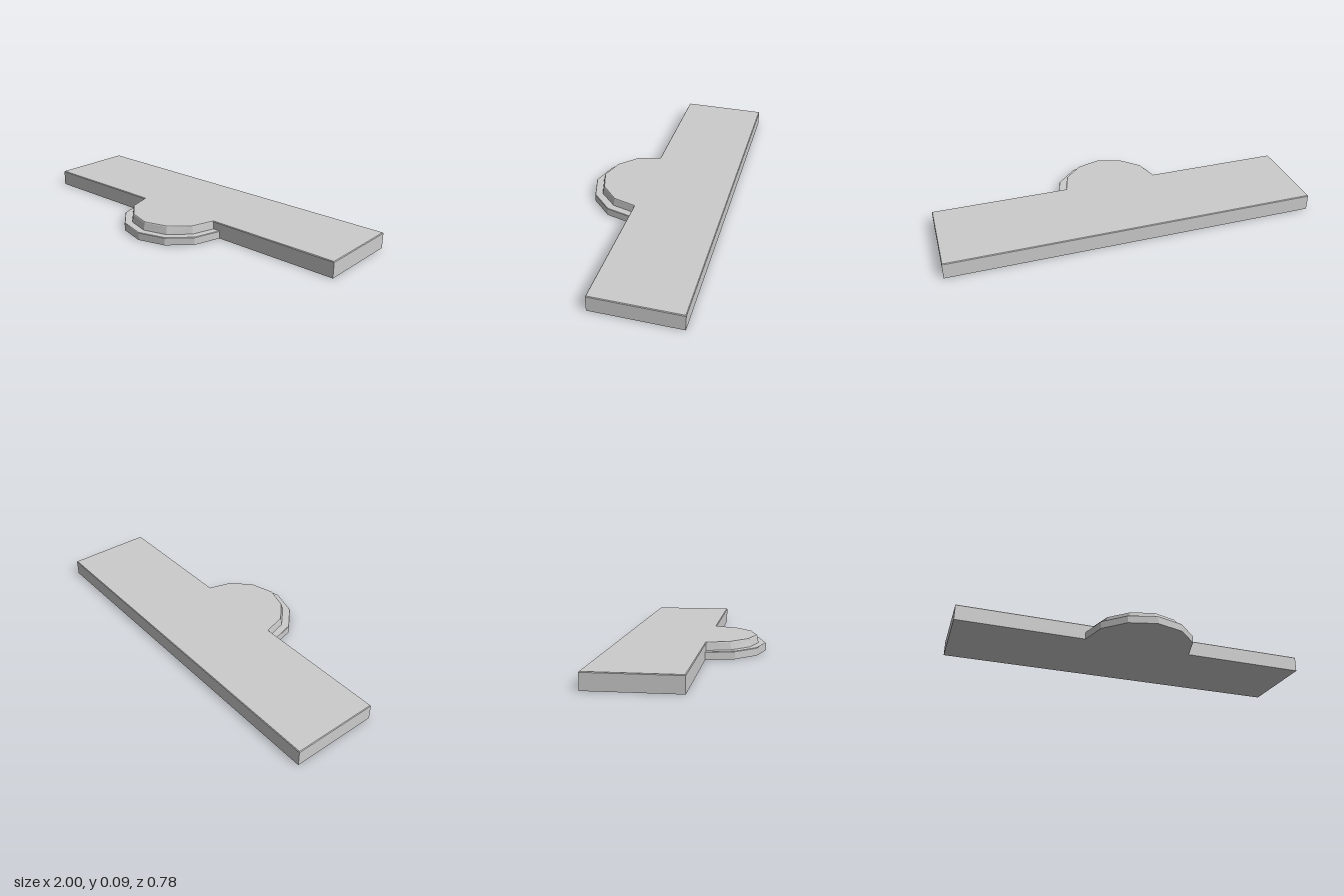
import * as THREE from 'three';

const material = new THREE.MeshStandardMaterial({ color: 0xcccccc, flatShading: true });

// Closed solid through stacked convex outlines; each layer is { y, ring: [[x, z], ...] }
function stack(name, layers) {
  const pos = [];
  const put = (layer, i) => {
    const p = layer.ring[i % layer.ring.length];
    pos.push(p[0], layer.y, p[1]);
  };
  const n = layers[0].ring.length;
  for (let k = 0; k < layers.length - 1; k++) {
    const a = layers[k], b = layers[k + 1];
    for (let i = 0; i < n; i++) {
      put(a, i); put(a, i + 1); put(b, i + 1);
      put(a, i); put(b, i + 1); put(b, i);
    }
  }
  const bottom = layers[0], top = layers[layers.length - 1];
  for (let i = 1; i < n - 1; i++) {
    put(top, 0); put(top, i); put(top, i + 1);
    put(bottom, 0); put(bottom, i + 1); put(bottom, i);
  }
  const geometry = new THREE.BufferGeometry();
  geometry.setAttribute('position', new THREE.Float32BufferAttribute(pos, 3));
  geometry.computeVertexNormals();
  const mesh = new THREE.Mesh(geometry, material);
  mesh.name = name;
  return mesh;
}

// Rectangle inset by d
const slabRing = (d) => [[-1 + d, -0.388 + d], [-1 + d, 0.083 - d], [1 - d, 0.083 - d], [1 - d, -0.388 + d]];

// Mirror a half outline (from the slab to the centre tip) into a full one
const mirrored = (half) => [
  ...half.map(([x, z]) => [-x, z]),
  ...half.slice(0, -1).reverse(),
];

export function createModel() {
  const group = new THREE.Group();
  group.name = 'steppedPlatform';

  // Long slab with a fine bevel around the top
  group.add(stack('slab', [
    { y: 0, ring: slabRing(0) },
    { y: 0.083, ring: slabRing(0) },
    { y: 0.087, ring: slabRing(0.003) },
  ]));

  // Low rounded step
  const low = (d) => mirrored([
    [0.303 - d, 0.075], [0.303 - d, 0.083], [0.262 - d, 0.235 - d / 2], [0.151 - d / 2, 0.345 - d], [0, 0.388 - d],
  ]);
  group.add(stack('lowerStep', [
    { y: 0, ring: low(0) },
    { y: 0.04, ring: low(0) },
    { y: 0.043, ring: low(0.002) },
  ]));

  // Upper rounded step, leaning slightly inward and flush with the slab
  const high = (d) => mirrored([
    [0.262 - d / 2, 0.075], [0.262 - d / 2, 0.083], [0.226 - d / 2, 0.212 - d / 2], [0.13 - d / 2, 0.309 - d], [0, 0.347 - d],
  ]);
  group.add(stack('upperStep', [
    { y: 0.04, ring: high(0) },
    { y: 0.083, ring: high(0.008) },
    { y: 0.087, ring: high(0.011) },
  ]));

  return group;
}
